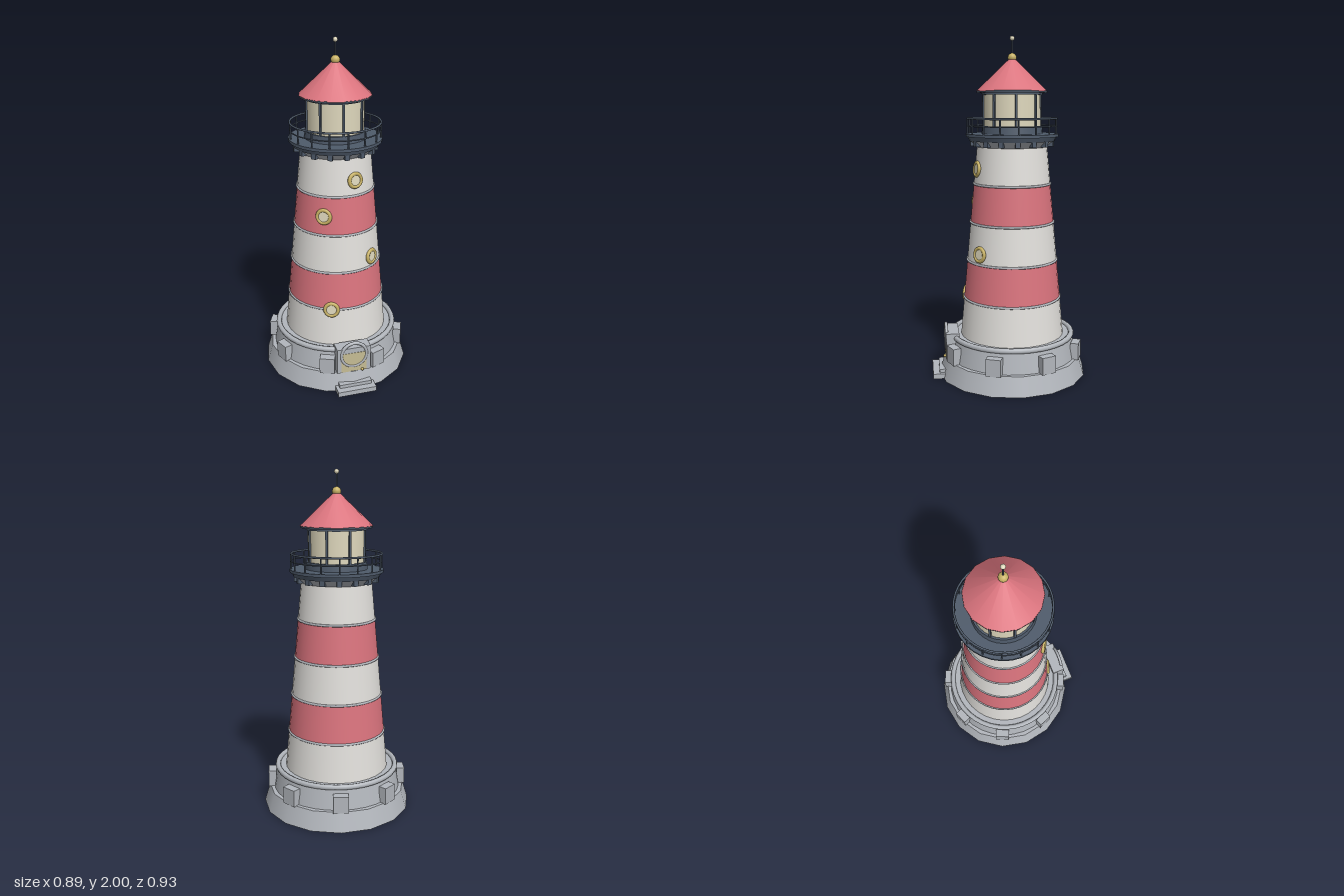
import * as THREE from 'three';

const mat = (name, color, extra = {}) => {
  const m = new THREE.MeshStandardMaterial({ color, ...extra });
  m.name = name;
  return m;
};

export function createModel() {
  const stone = mat('stone', 0xb2b6bc);
  const white = mat('white plaster', 0xe2e0dc);
  const red = mat('red paint', 0xdb747e);
  const iron = mat('dark iron', 0x4f5b6b);
  const gold = mat('brass', 0xc8b265);
  const glass = mat('warm glass', 0xdfd8bd);
  const wood = mat('door paint', 0xc6bc94);

  const model = new THREE.Group();
  model.name = 'lighthouse';
  // everything round shares one axis, set back to leave room for the steps
  const tower = new THREE.Group();
  tower.name = 'tower';
  tower.position.z = -0.02;
  model.add(tower);

  const add = (parent, name, geo, material, x = 0, y = 0, z = 0) => {
    const m = new THREE.Mesh(geo, material);
    m.name = name;
    m.position.set(x, y, z);
    parent.add(m);
    return m;
  };
  // tapered cylinder between two heights
  const drum = (name, y0, y1, r0, r1, material, sides = 32, open = false) =>
    add(tower, name, new THREE.CylinderGeometry(r1, r0, y1 - y0, sides, 1, open), material, 0, (y0 + y1) / 2);
  // horizontal hoop
  const hoop = (name, y, r, tube, material) => {
    const m = add(tower, name, new THREE.TorusGeometry(r, tube, 8, 40), material, 0, y);
    m.rotation.x = Math.PI / 2;
    return m;
  };
  // copies of one geometry around the axis
  const around = (name, count, offset, r, y, geo, material) => {
    for (let i = 0; i < count; i++) {
      const a = offset + (i / count) * Math.PI * 2;
      add(tower, name, geo, material, Math.sin(a) * r, y, Math.cos(a) * r).rotation.y = a;
    }
  };

  // foundation with buttress blocks
  drum('foundation', 0, 0.11, 0.445, 0.412, stone, 16);
  drum('plinth', 0.11, 0.24, 0.385, 0.362, stone);
  hoop('plinthRim', 0.24, 0.36, 0.016, stone);
  around('buttress', 8, Math.PI / 8, 0.394, 0.157, new THREE.BoxGeometry(0.088, 0.1, 0.048), stone);

  // striped shaft
  const bottom = 0.24, band = 0.2275;
  const radiusAt = (y) => 0.31 - (y - bottom) * 0.0915;
  for (let i = 0; i < 5; i++) {
    const y0 = bottom + i * band, y1 = y0 + band;
    drum('shaftBand', y0, y1, radiusAt(y0), radiusAt(y1), i % 2 ? red : white, 32, true);
    if (i) hoop('bandRing', y0, radiusAt(y0), 0.007, stone);
  }

  // round windows, facing outward and leaning with the wall
  for (const [x, y] of [[0.055, 1.24], [-0.125, 1.035], [0.16, 0.755], [-0.1, 0.467]]) {
    const r = radiusAt(y), a = Math.asin(x / r);
    const win = new THREE.Group();
    win.name = 'roundWindow';
    win.position.set(x, y, r * Math.cos(a));
    win.rotation.set(-0.09, a, 0, 'YXZ');
    tower.add(win);
    add(win, 'windowFrame', new THREE.TorusGeometry(0.038, 0.011, 8, 24), gold, 0, 0, 0.002);
    add(win, 'windowPane', new THREE.CylinderGeometry(0.036, 0.036, 0.009, 24), glass, 0, 0, 0.003).rotation.x = Math.PI / 2;
  }

  // gallery deck, brackets and railing
  drum('cornice', 1.365, 1.405, 0.207, 0.25, stone);
  around('bracket', 16, 0, 0.232, 1.388, new THREE.BoxGeometry(0.028, 0.036, 0.03), iron);
  drum('galleryUnderside', 1.4, 1.428, 0.25, 0.262, iron);
  drum('galleryDeck', 1.425, 1.442, 0.272, 0.272, iron);
  around('railPost', 16, 0, 0.262, 1.486, new THREE.CylinderGeometry(0.005, 0.005, 0.09, 6), iron);
  hoop('topRail', 1.53, 0.262, 0.006, iron);
  hoop('midRail', 1.487, 0.262, 0.004, iron);

  // lantern room
  drum('lanternCurb', 1.44, 1.485, 0.18, 0.176, iron);
  drum('lanternGlass', 1.48, 1.68, 0.165, 0.165, glass);
  around('mullion', 8, 0, 0.168, 1.58, new THREE.BoxGeometry(0.012, 0.2, 0.012), iron);
  drum('lanternHead', 1.665, 1.684, 0.176, 0.176, iron);

  // roof and finial
  drum('eave', 1.676, 1.688, 0.207, 0.209, iron, 16);
  drum('roof', 1.686, 1.875, 0.21, 0.012, red, 16);
  add(tower, 'roofBall', new THREE.SphereGeometry(0.026, 16, 12), gold, 0, 1.877);
  drum('spire', 1.89, 1.985, 0.005, 0.004, iron, 8);
  add(tower, 'spireTip', new THREE.SphereGeometry(0.014, 12, 10), glass, 0, 1.986);

  // entrance porch, door and steps
  const entrance = new THREE.Group();
  entrance.name = 'entrance';
  model.add(entrance);
  add(entrance, 'porch', new THREE.BoxGeometry(0.206, 0.16, 0.078), stone, 0, 0.188, 0.347);
  add(entrance, 'door', new THREE.BoxGeometry(0.155, 0.125, 0.006), wood, 0, 0.173, 0.385);
  add(entrance, 'doorArch', new THREE.TorusGeometry(0.077, 0.01, 8, 32), stone, 0, 0.222, 0.382);
  add(entrance, 'doorKnob', new THREE.SphereGeometry(0.009, 10, 8), gold, 0.05, 0.118, 0.393);
  add(entrance, 'lowerStep', new THREE.BoxGeometry(0.234, 0.03, 0.1), stone, 0, 0.015, 0.415);
  add(entrance, 'upperStep', new THREE.BoxGeometry(0.196, 0.022, 0.08), stone, 0, 0.04, 0.387);

  return model;
}
